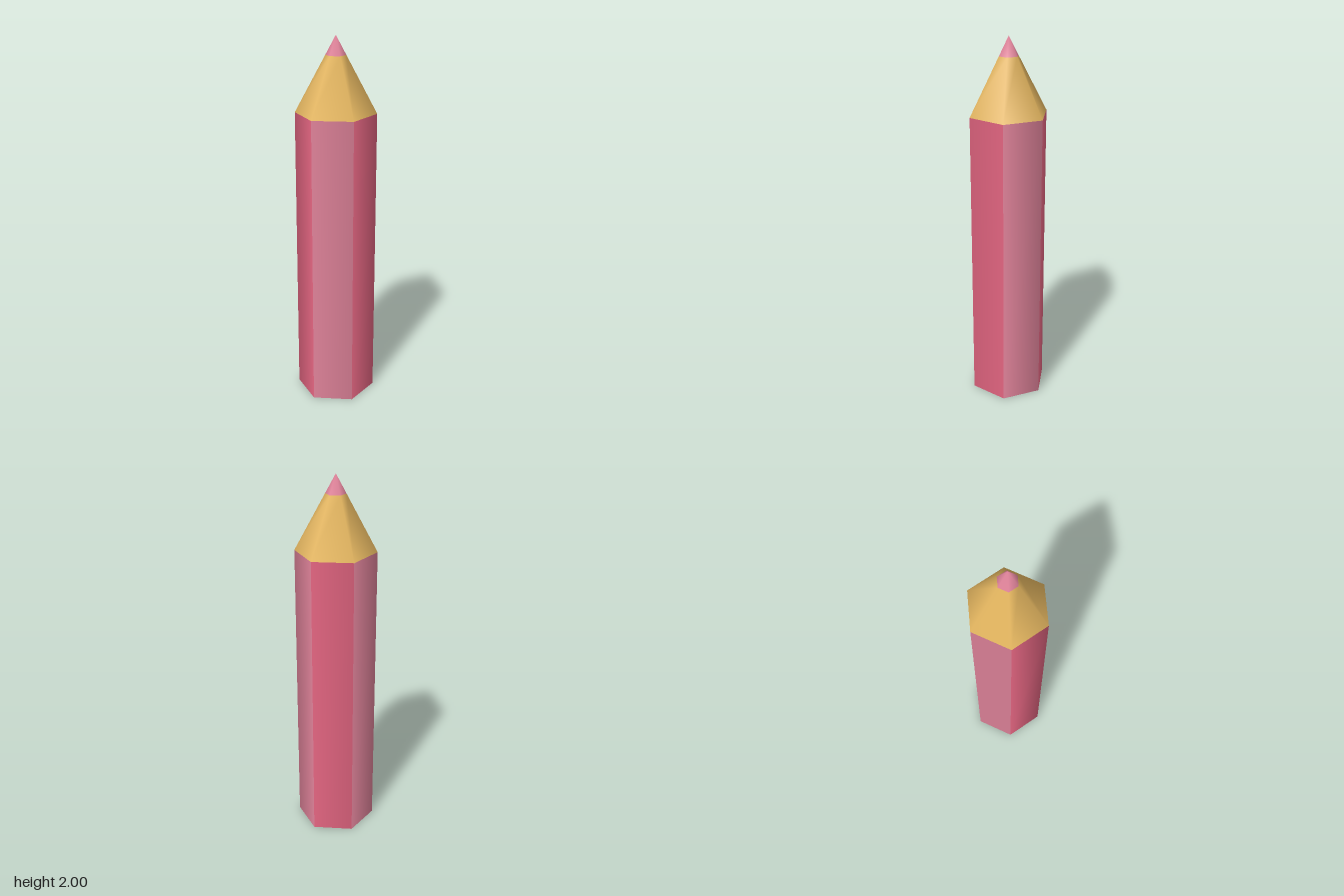
import * as THREE from 'three';
import { mergeVertices } from 'three/addons/utils/BufferGeometryUtils.js';

const SIDES = 6;
const START = Math.PI / 6; // corners on the x axis, flat faces to front and back
const RADIUS = 0.215;
const BODY_TOP = 1.6, LEAD_BASE = 1.9, TIP = 2;
const LEAD_RADIUS = RADIUS * (TIP - LEAD_BASE) / (TIP - BODY_TOP);

function material(name, color) {
  const m = new THREE.MeshStandardMaterial({ color });
  m.name = name;
  return m;
}

// Six-sided section between two heights
function hexSection(rTop, rBottom, y0, y1, open) {
  const g = new THREE.CylinderGeometry(rTop, rBottom, y1 - y0, SIDES, 1, open, START);
  return g.translate(0, (y0 + y1) / 2, 0);
}

export function createModel() {
  const pink = material('strong pink', 0xe56682);
  const palePink = material('pale pink', 0xe0839a);
  const wood = material('wood', 0xe3b55f);

  const pencil = new THREE.Group();
  pencil.name = 'pencil';
  const add = (name, geometry, mat) => {
    const mesh = new THREE.Mesh(geometry, mat);
    mesh.name = name;
    pencil.add(mesh);
  };

  // Barrel: side faces alternate between two pinks, plus the bottom cap
  const barrel = hexSection(RADIUS, RADIUS, 0, BODY_TOP, false);
  barrel.clearGroups();
  for (let i = 0; i < SIDES; i++) barrel.addGroup(i * 6, 6, i % 2);
  barrel.addGroup(SIDES * 9, SIDES * 3, 1);
  add('barrel', barrel, [palePink, pink]);

  // Sharpened wood
  add('sharpenedWood', hexSection(LEAD_RADIUS, RADIUS, BODY_TOP, LEAD_BASE, true), wood);

  // Lead point, smoothed over a shared apex
  let lead = hexSection(0, LEAD_RADIUS, LEAD_BASE, TIP, true);
  lead.deleteAttribute('uv');
  lead.deleteAttribute('normal');
  lead = mergeVertices(lead);
  lead.computeVertexNormals();
  add('leadTip', lead, palePink);

  return pencil;
}
